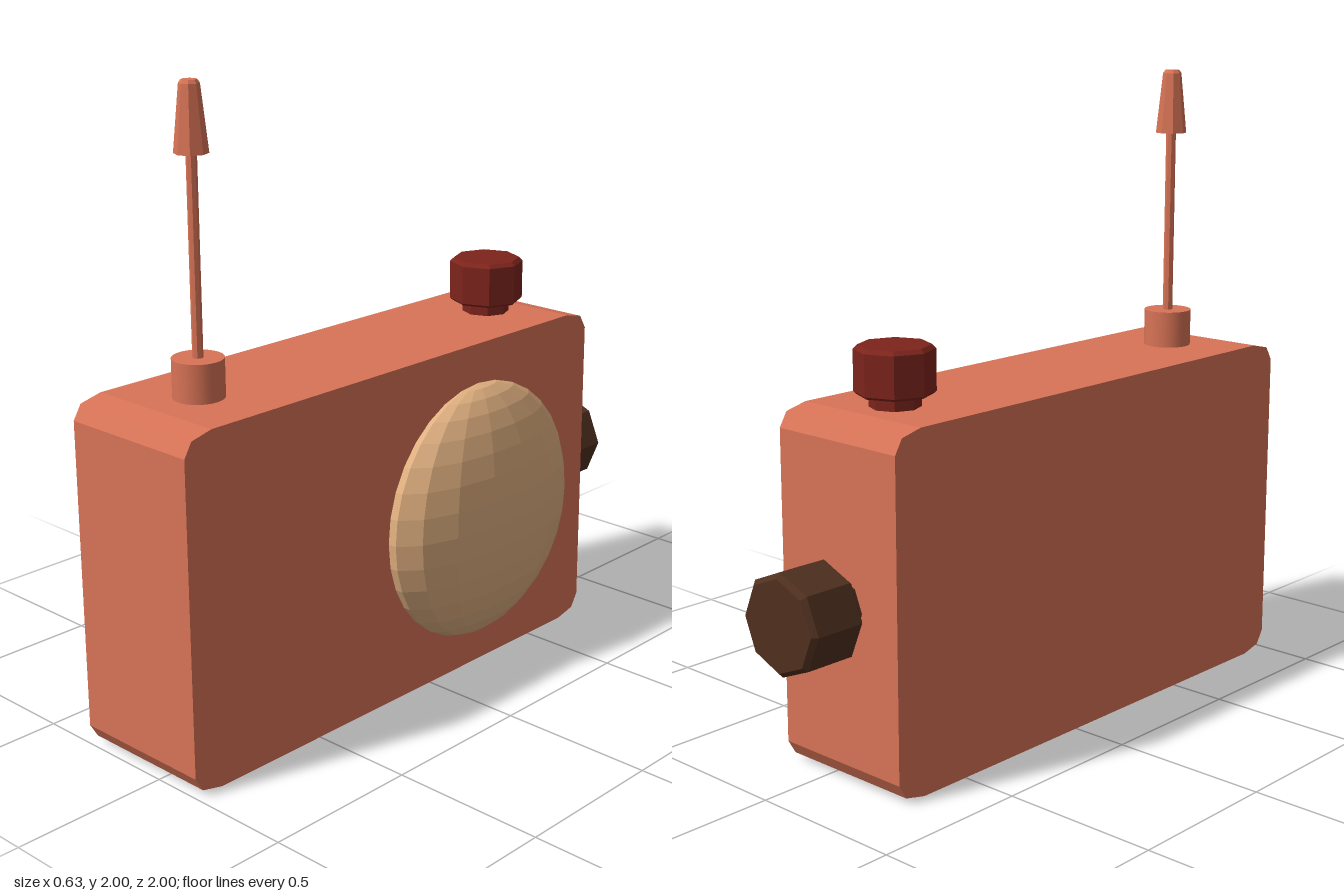
import * as THREE from 'three';

const CX = -0.076; // centre line of the case

function mat(color, flat = true) {
  return new THREE.MeshStandardMaterial({ color, flatShading: flat });
}

function add(parent, name, geometry, material) {
  const mesh = new THREE.Mesh(geometry, material);
  mesh.name = name;
  parent.add(mesh);
  return mesh;
}

// Turned part along +y from [radius, height] pairs, closed at both ends
function turned(profile, sides) {
  const pts = profile.map(([r, y]) => new THREE.Vector2(r, y));
  pts.unshift(new THREE.Vector2(0, profile[0][1]));
  pts.push(new THREE.Vector2(0, profile[profile.length - 1][1]));
  return new THREE.LatheGeometry(pts, sides);
}

// Octagonal knob on a short stem, standing on its origin
function knob(name, material, radius, stemRadius, stemHeight, height, bevel) {
  const group = new THREE.Group();
  group.name = name;
  add(group, name + 'Stem', turned([[stemRadius, -0.02], [stemRadius, stemHeight + 0.01]], 8), material);
  add(group, name + 'Cap', turned([
    [radius - bevel * 0.6, stemHeight], [radius, stemHeight + bevel * 0.6],
    [radius, height - bevel], [radius - bevel, height],
  ], 8), material);
  return group;
}

export function createModel() {
  const model = new THREE.Group();
  model.name = 'pocketRadio';
  const coral = mat(0xd87356);

  // Case: side outline with faceted corners, extruded across x
  const z0 = -0.77, z1 = 1, h = 1.092;
  const corner = [[0, 0.062], [0.027, 0.017], [0.1, 0]];
  const back = corner.slice().reverse();
  const outline = [
    ...corner.map(([a, b]) => [z0 + a, b]),
    ...back.map(([a, b]) => [z1 - a, b]),
    ...corner.map(([a, b]) => [z1 - a, h - b]),
    ...back.map(([a, b]) => [z0 + a, h - b]),
  ];
  // shape x becomes -z once the extrusion is turned to run along +x
  const shape = new THREE.Shape(outline.map(([z, y]) => new THREE.Vector2(-z, y)));
  const caseGeo = new THREE.ExtrudeGeometry(shape, { depth: 0.478, bevelEnabled: false });
  caseGeo.rotateY(Math.PI / 2);
  caseGeo.translate(-0.315, 0, 0);
  add(model, 'case', caseGeo, coral);

  // Speaker: flattened faceted sphere set into the left face
  const speaker = add(model, 'speaker',
    new THREE.SphereGeometry(1, 16, 16, Math.PI / 16), mat(0xe0b080));
  speaker.scale.set(0.151, 0.424, 0.424);
  speaker.position.set(0.163, 0.538, -0.222);

  // Knobs on the top and the back end
  const topKnob = knob('topKnob', mat(0x7d241c), 0.12, 0.077, 0.038, 0.182, 0.012);
  topKnob.position.set(CX, h, -0.537);
  const rearKnob = knob('rearKnob', mat(0x50301f), 0.154, 0.096, 0.045, 0.23, 0.015);
  rearKnob.rotation.x = -Math.PI / 2;
  rearKnob.position.set(CX, 0.543, z0);
  model.add(topKnob, rearKnob);

  // Aerial: round socket, thin rod and tapered tip
  const aerial = new THREE.Group();
  aerial.name = 'aerial';
  aerial.position.set(CX, 0, 0.733);
  const socket = new THREE.CylinderGeometry(0.077, 0.077, 0.14, 32);
  socket.translate(0, 1.14, 0);
  add(aerial, 'aerialSocket', socket, mat(0xd87356, false));
  add(aerial, 'aerialRod', turned([[0.016, 1.2], [0.016, 1.82]], 8), coral);
  add(aerial, 'aerialTip', turned([[0.05, 1.797], [0.03, 1.99], [0.023, 2]], 8), coral);
  model.add(aerial);

  return model;
}
